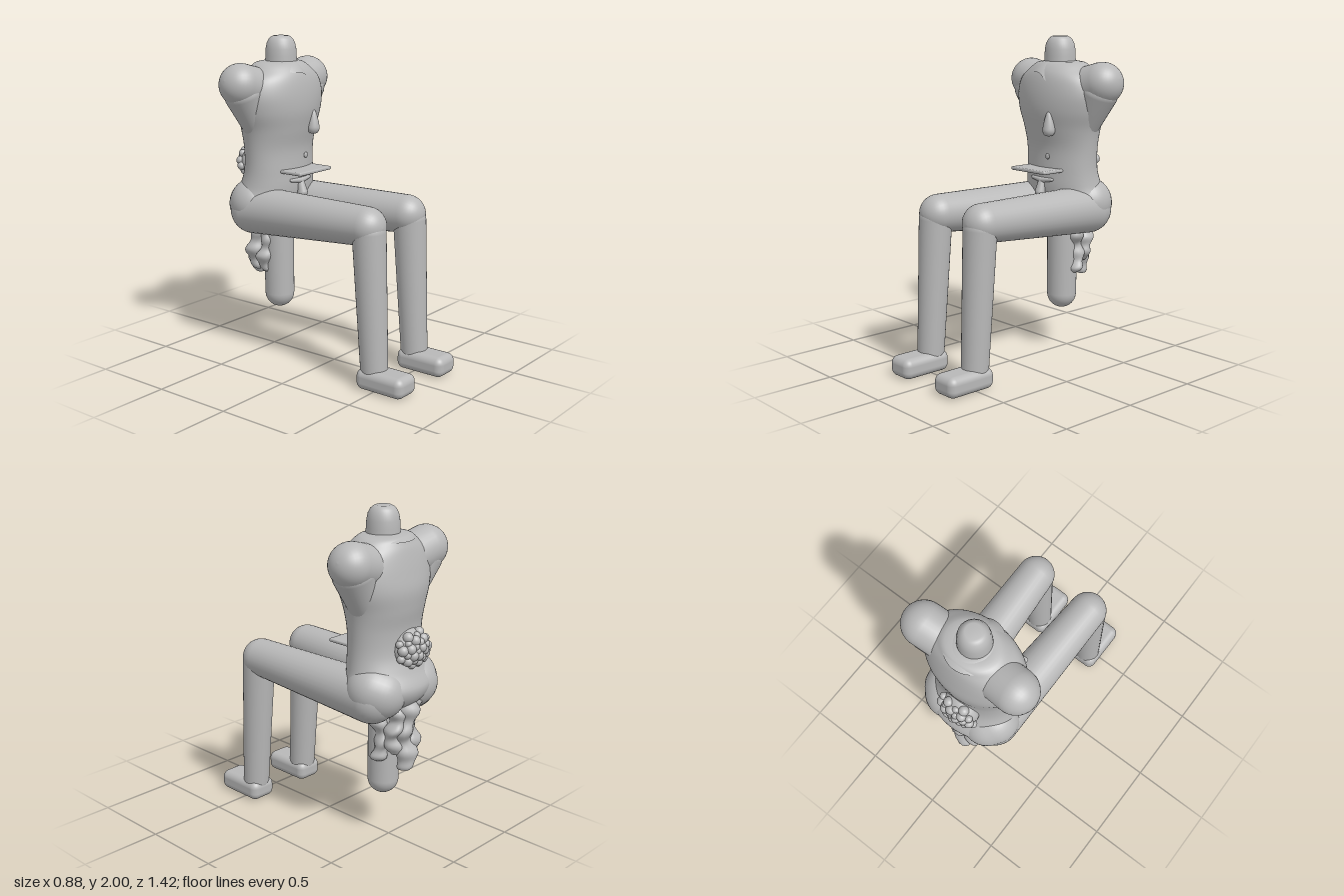
import * as THREE from 'three';
import { RoundedBoxGeometry } from 'three/addons/geometries/RoundedBoxGeometry.js';

const clay = new THREE.MeshStandardMaterial({ color: 0xb8b8b8, side: THREE.DoubleSide });
clay.name = 'clayGrey';

// Closed-around surface: fn(t, angle) gives a point; t runs upward from 0 to 1
function skin(fn, rows, segs) {
  const pos = [], index = [];
  for (let i = 0; i <= rows; i++) {
    for (let j = 0; j < segs; j++) pos.push(...fn(i / rows, (j / segs) * Math.PI * 2));
  }
  for (let i = 0; i < rows; i++) {
    for (let j = 0; j < segs; j++) {
      const a = i * segs + j, b = i * segs + ((j + 1) % segs);
      index.push(a, a + segs, b, b, a + segs, b + segs);
    }
  }
  const g = new THREE.BufferGeometry();
  g.setAttribute('position', new THREE.Float32BufferAttribute(pos, 3));
  g.setIndex(index);
  g.computeVertexNormals();
  return g;
}

// Round-ended limb tapering from point a to point b
function limbGeometry(a, b, ra, rb) {
  const A = new THREE.Vector3(...a), B = new THREE.Vector3(...b);
  const dir = B.clone().sub(A), len = dir.length(), pts = [];
  for (let i = 0; i <= 10; i++) {
    const t = (i / 10) * Math.PI / 2;
    pts.push(new THREE.Vector2(Math.sin(t) * ra, -Math.cos(t) * ra));
  }
  for (let i = 0; i <= 10; i++) {
    const t = (i / 10) * Math.PI / 2;
    pts.push(new THREE.Vector2(Math.cos(t) * rb, len + Math.sin(t) * rb));
  }
  const g = new THREE.LatheGeometry(pts, 32);
  g.applyQuaternion(new THREE.Quaternion().setFromUnitVectors(new THREE.Vector3(0, 1, 0), dir.normalize()));
  return g.translate(...a);
}

export function createModel() {
  const model = new THREE.Group();
  model.name = 'seatedTorso';
  const add = (name, geometry, x = 0, y = 0, z = 0) => {
    const m = new THREE.Mesh(geometry, clay);
    m.name = name;
    m.position.set(x, y, z);
    model.add(m);
    return m;
  };
  const limb = (name, a, b, ra, rb) => add(name, limbGeometry(a, b, ra, rb));
  const blob = (name, r, x, y, z, sx = 1, sy = 1, sz = 1) => {
    const m = add(name, new THREE.SphereGeometry(r, 20, 14), x, y, z);
    m.scale.set(sx, sy, sz);
    return m;
  };

  // Torso sections: height, half width, front z, back z
  const sections = [
    [0.81, 0.005, -0.47, -0.48], [0.83, 0.1, -0.36, -0.56], [0.88, 0.2, -0.31, -0.65],
    [0.98, 0.3, -0.28, -0.7], [1.08, 0.27, -0.265, -0.655], [1.18, 0.256, -0.265, -0.62],
    [1.32, 0.258, -0.265, -0.615], [1.44, 0.275, -0.24, -0.635], [1.55, 0.31, -0.22, -0.645],
    [1.65, 0.32, -0.22, -0.63], [1.74, 0.29, -0.235, -0.61], [1.8, 0.22, -0.26, -0.59],
    [1.84, 0.16, -0.3, -0.56], [1.845, 0.005, -0.42, -0.43],
  ];
  const size = new THREE.CatmullRomCurve3(sections.map(([y, w, f, b]) => new THREE.Vector3(w, y, (f - b) / 2)));
  const spine = new THREE.CatmullRomCurve3(sections.map(([y, w, f, b]) => new THREE.Vector3(0, y, (f + b) / 2)));
  add('torso', skin((t, a) => {
    const s = size.getPoint(t), c = spine.getPoint(t);
    return [Math.cos(a) * s.x, s.y, c.z + Math.sin(a) * s.z];
  }, 78, 56));

  // Neck stump with a small flat top
  const neck = [[0.1, 1.8], [0.096, 1.88], [0.094, 1.92], [0.087, 1.955], [0.074, 1.98], [0.06, 1.993], [0.046, 2], [0, 2]];
  add('neck', new THREE.LatheGeometry(neck.map(p => new THREE.Vector2(...p)), 40), 0, 0, -0.415);

  // Draped collar with one hanging lobe at the front
  add('collar', skin((t, a) => {
    const front = Math.max(0, Math.sin(a));
    const lobe = Math.exp(-(((a - 1.2) / 0.24) ** 2));
    const k = 1 - t;
    const drop = 0.03 + 0.035 * front + 0.055 * lobe;
    const r = 0.09 + k * (0.062 + 0.03 * front + 0.012 * lobe + (Math.sin(a) < 0 ? -0.025 * Math.sin(a) : 0));
    return [Math.cos(a) * r, 1.85 - drop * k ** 1.8, -0.42 + Math.sin(a) * r];
  }, 12, 72));

  // Mirrored shoulders, legs and feet
  for (const [side, s] of [['left', 1], ['right', -1]]) {
    limb(side + 'Shoulder', [s * 0.16, 1.68, -0.45], [s * 0.312, 1.722, -0.467], 0.13, 0.13);
    limb(side + 'Armpit', [s * 0.2, 1.48, -0.45], [s * 0.28, 1.66, -0.46], 0.09, 0.125);
    limb(side + 'Thigh', [s * 0.168, 0.928, -0.5], [s * 0.2, 0.965, 0.395], 0.15, 0.116);
    limb(side + 'Buttock', [s * 0.14, 0.96, -0.53], [s * 0.165, 0.975, -0.5], 0.155, 0.155);
    limb(side + 'Shin', [s * 0.205, 0.93, 0.415], [s * 0.208, 0.11, 0.462], 0.1, 0.082);
    add(side + 'Foot', new RoundedBoxGeometry(0.18, 0.125, 0.33, 5, 0.045), s * 0.21, 0.0625, 0.545);
  }

  // Teardrop on the chest
  const drop = [[0, -0.075], [0.025, -0.068], [0.038, -0.045], [0.036, -0.015], [0.026, 0.03], [0.014, 0.065], [0, 0.08]];
  add('chestDrop', new THREE.LatheGeometry(
    new THREE.SplineCurve(drop.map(p => new THREE.Vector2(...p))).getPoints(28), 24), 0.09, 1.475, -0.235);
  blob('bellyDimple', 0.018, 0.05, 1.27, -0.264, 1, 1, 0.4);

  // Thin shelf at the waist and the small relief beneath it
  add('waistPlate', new RoundedBoxGeometry(0.3, 0.022, 0.17, 3, 0.009), 0, 1.188, -0.225);
  for (const s of [-1, 1]) limb('reliefArm', [0, 1.118, -0.262], [s * 0.085, 1.127, -0.268], 0.018, 0.01);
  limb('reliefStem', [0, 1.11, -0.265], [0, 1.045, -0.25], 0.022, 0.032);

  // Supporting rod below the seat
  limb('supportRod', [0, 0.36, -0.447], [0, 0.92, -0.45], 0.093, 0.098);

  // Lumpy hanging strands: x, z, bottom, top, radius, phase
  const strands = [
    [0.075, -0.49, 0.5, 0.88, 0.052, 0], [-0.075, -0.49, 0.5, 0.88, 0.052, 1.5],
    [0, -0.605, 0.46, 0.92, 0.066, 2.2], [0.06, -0.58, 0.56, 0.92, 0.055, 4], [-0.06, -0.585, 0.5, 0.92, 0.056, 0.8],
  ];
  for (const [x, z, y0, y1, r, p] of strands) {
    add('hangingStrand', skin((t, a) => {
      const end = Math.sqrt(Math.max(0, 1 - (1 - Math.min(1, t / 0.14)) ** 2));
      const w = r * end * (0.9 + 0.16 * Math.sin(t * 22 + p) + 0.08 * Math.sin(3 * a + t * 9));
      return [x + 0.012 * Math.sin(t * 11 + p) + Math.cos(a) * w, y0 + (y1 - y0) * t,
        z + 0.012 * Math.cos(t * 9 + p) + Math.sin(a) * w];
    }, 40, 20));
  }

  // Bubbly cluster on the lower back
  blob('clusterBase', 0.1, -0.02, 1.21, -0.61, 1.2, 1.15, 0.75);
  for (let i = 0; i < 30; i++) {
    const q = Math.sqrt((i + 0.5) / 30), a = i * 2.4;
    const r = 0.02 + 0.011 * Math.abs(Math.sin(i * 5.3));
    blob('clusterBubble', r, -0.02 + Math.cos(a) * q * 0.125, 1.21 + Math.sin(a) * q * 0.1,
      -0.61 - 0.075 * Math.sqrt(1 - q * q * 0.95));
  }
  return model;
}
